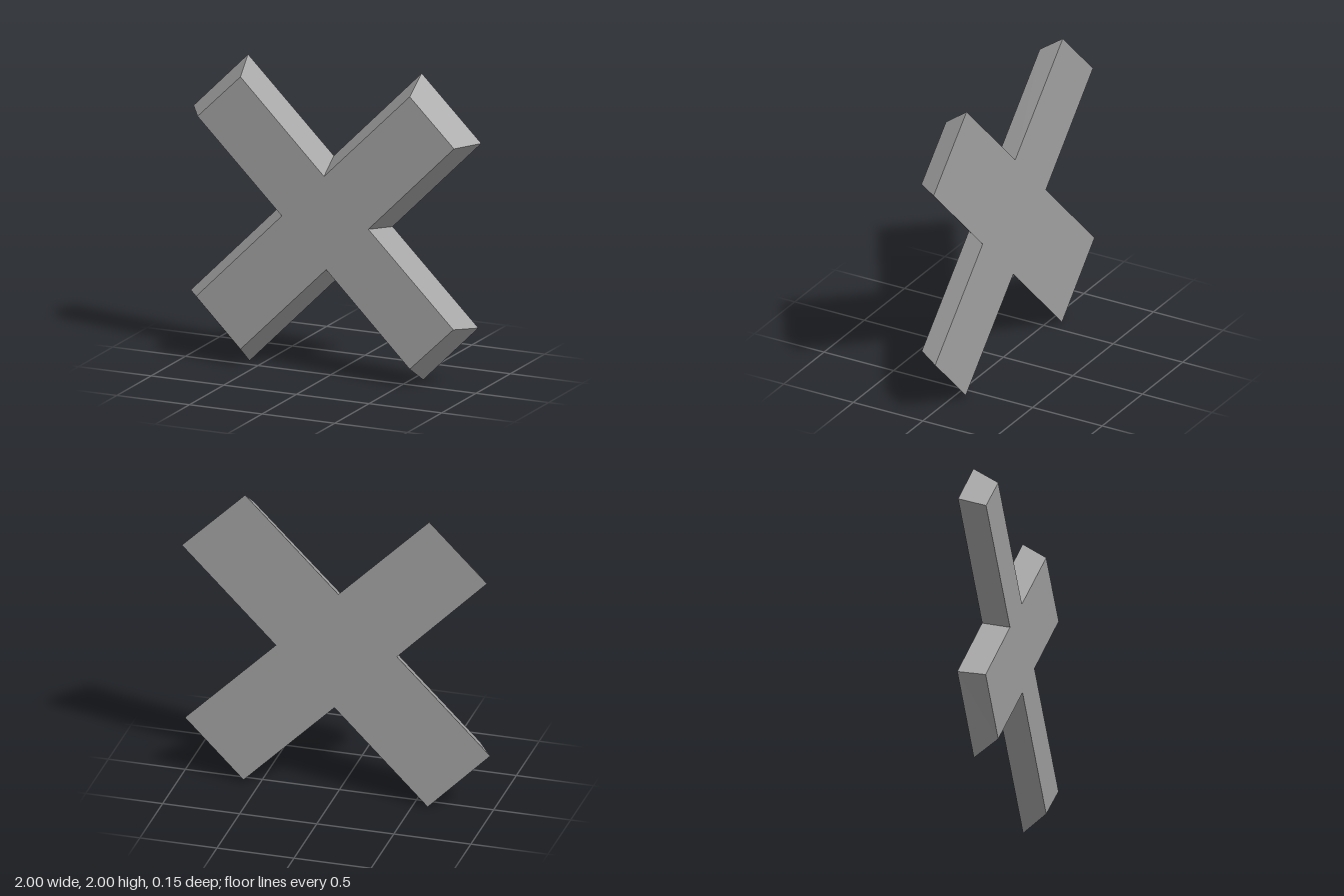
import * as THREE from 'three';

// Matching outlines, counter-clockwise seen from the front: [back x, back y, front x, front y]
const corners = [
  [0.59, 2.0, 0.58, 1.885], [-0.015, 1.395, -0.01, 1.3], [-0.605, 1.98, -0.585, 1.875],
  [-0.98, 1.605, -0.88, 1.585], [-0.395, 1.015, -0.3, 1.01], [-1.0, 0.41, -0.89, 0.42],
  [-0.595, 0.0, -0.585, 0.115], [0.01, 0.605, 0.005, 0.7], [0.6, 0.02, 0.58, 0.125],
  [0.98, 0.4, 0.88, 0.415], [0.39, 0.985, 0.295, 0.995], [1.0, 1.595, 0.885, 1.585],
];
const halfDepth = 0.077;

function bevelledCross() {
  const back = corners.map(([x, y]) => new THREE.Vector3(x, y, -halfDepth));
  const front = corners.map(([, , x, y]) => new THREE.Vector3(x, y, halfDepth));
  const points = [];
  // flat front and back faces
  for (const [a, b, c] of THREE.ShapeUtils.triangulateShape(front, [])) {
    points.push(front[a], front[b], front[c]);
  }
  for (const [a, b, c] of THREE.ShapeUtils.triangulateShape(back, [])) {
    points.push(back[c], back[b], back[a]);
  }
  // sloping walls
  for (let i = 0; i < corners.length; i++) {
    const j = (i + 1) % corners.length;
    points.push(front[j], front[i], back[i], front[j], back[i], back[j]);
  }
  const geometry = new THREE.BufferGeometry().setFromPoints(points);
  geometry.computeVertexNormals();
  return geometry;
}

export function createModel() {
  const group = new THREE.Group();
  group.name = 'diagonalCross';
  const material = new THREE.MeshStandardMaterial({ color: 0xa0a0a0, flatShading: true });
  const cross = new THREE.Mesh(bevelledCross(), material);
  cross.name = 'bevelledCross';
  group.add(cross);
  return group;
}
